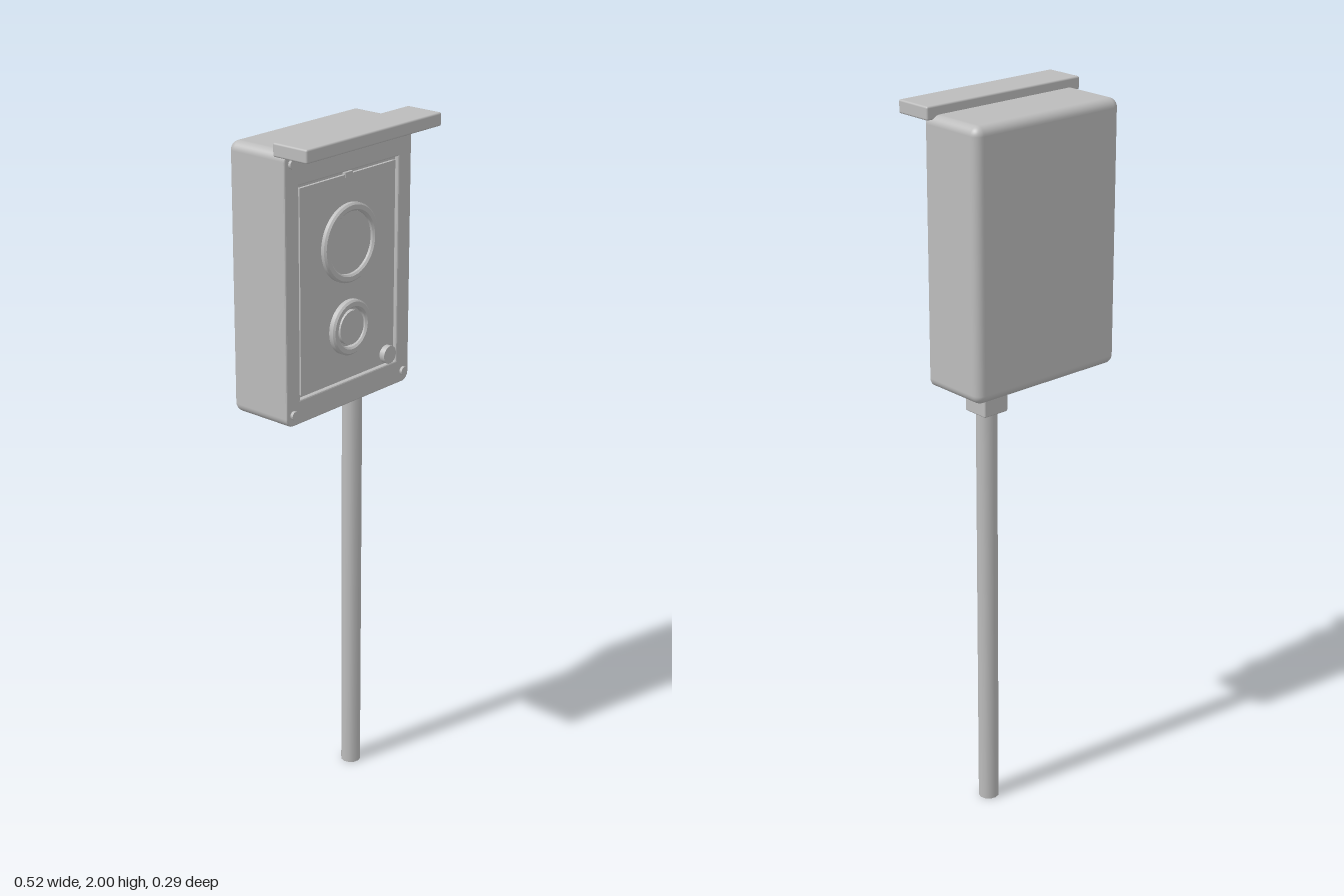
import * as THREE from 'three';
import { RoundedBoxGeometry } from 'three/addons/geometries/RoundedBoxGeometry.js';

export function createModel() {
  const model = new THREE.Group();
  const grey = new THREE.MeshStandardMaterial({ color: 0xbcbcbc });
  grey.name = 'light grey';

  const add = (name, geometry, x = 0, y = 0, z = 0) => {
    const mesh = new THREE.Mesh(geometry, grey);
    mesh.name = name;
    mesh.position.set(x, y, z);
    model.add(mesh);
    return mesh;
  };
  // Disc facing +z, from z0 to z1
  const disc = (name, r, x, y, z0, z1, sides = 32) => {
    const g = new THREE.CylinderGeometry(r, r, z1 - z0, sides).rotateX(Math.PI / 2);
    return add(name, g, x, y, (z0 + z1) / 2);
  };
  // Chamfered ring facing +z
  const ring = (name, rOut, rIn, y, z0, z1) => {
    const c = 0.005;
    const corners = [[rOut, z0], [rOut, z1 - c], [rOut - c, z1], [rIn + c, z1], [rIn, z1 - c], [rIn, z0]];
    for (let i = 0; i < corners.length - 1; i++) {
      const profile = [corners[i], corners[i + 1]].map(p => new THREE.Vector2(...p));
      add(name, new THREE.LatheGeometry(profile, 48).rotateX(Math.PI / 2), 0, y, 0);
    }
  };
  const roundedRect = (w, y0, y1, r) => {
    const s = new THREE.Shape();
    s.absarc(w - r, y1 - r, r, 0, Math.PI / 2);
    s.absarc(-w + r, y1 - r, r, Math.PI / 2, Math.PI);
    s.absarc(-w + r, y0 + r, r, Math.PI, Math.PI * 1.5);
    s.absarc(w - r, y0 + r, r, Math.PI * 1.5, Math.PI * 2);
    s.closePath();
    return s;
  };

  // Housing: rounded at the back, cut flat at the front
  const body = new RoundedBoxGeometry(0.494, 0.735, 0.25, 4, 0.025).translate(0, 1.6075, -0.018);
  const pos = body.attributes.position;
  for (let i = 0; i < pos.count; i++) pos.setZ(i, Math.min(pos.getZ(i), 0.042));
  add('housing', body);

  // Front frame around the door opening
  const b = 0.004;
  const frame = roundedRect(0.247 - b, 1.24 + b, 1.975 - b, 0.021);
  const hx = 0.195 + b, h0 = 1.307 - b, h1 = 1.881 + b;
  frame.holes.push(new THREE.Path([[-hx, h0], [-hx, h1], [hx, h1], [hx, h0]].map(p => new THREE.Vector2(...p))));
  add('frontFrame', new THREE.ExtrudeGeometry(frame, {
    depth: 0.010, bevelEnabled: true, bevelSize: b, bevelThickness: b, bevelSegments: 2, curveSegments: 6,
  }), 0, 0, 0.041);

  // Recessed door with a small catch on its upper edge
  add('door', new THREE.BoxGeometry(0.374, 0.556, 0.012), 0, 1.594, 0.044);
  add('doorCatch', new THREE.BoxGeometry(0.03, 0.014, 0.012), 0, 1.871, 0.046);

  // Large and small dials
  ring('largeDialRing', 0.107, 0.085, 1.69, 0.045, 0.065);
  disc('largeDialFace', 0.084, 0, 1.69, 0.045, 0.054, 48);
  ring('smallDialRing', 0.076, 0.054, 1.458, 0.045, 0.068);
  disc('smallDialFace', 0.047, 0, 1.458, 0.045, 0.064);

  // Door knob
  disc('knobStem', 0.016, 0.146, 1.343, 0.045, 0.062);
  disc('knob', 0.025, 0.146, 1.343, 0.058, 0.074);

  // Corner screws
  for (const x of [-0.222, 0.222])
    for (const y of [1.272, 1.942]) disc('cornerScrew', 0.012, x, y, 0.05, 0.063, 12);

  // Rain hood
  add('rainHood', new RoundedBoxGeometry(0.524, 0.036, 0.114, 2, 0.005), 0, 1.982, 0.086);

  // Pole and its collar under the housing
  add('poleCollar', new RoundedBoxGeometry(0.08, 0.056, 0.08, 2, 0.004), 0.163, 1.218, -0.077);
  add('pole', new THREE.CylinderGeometry(0.029, 0.029, 1.2, 12), 0.163, 0.6, -0.077);

  return model;
}
